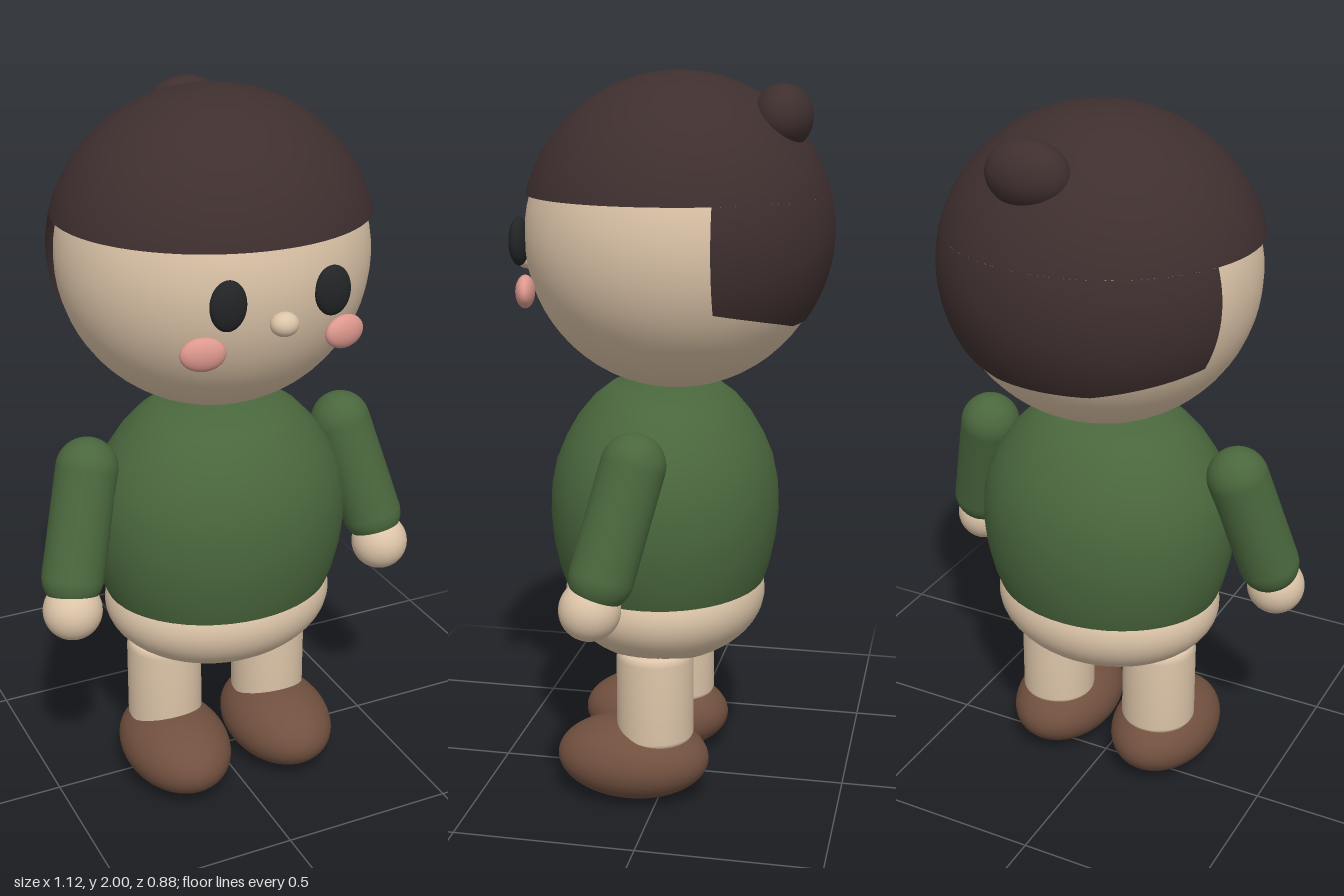
import * as THREE from 'three';

const mat = (name, color, side = THREE.FrontSide) => {
  const m = new THREE.MeshStandardMaterial({ color, side });
  m.name = name;
  return m;
};

export function createModel() {
  const group = new THREE.Group();
  const skin = mat('skin', 0xdcc4a8);
  const green = mat('shirt green', 0x4a673d, THREE.DoubleSide);
  const brown = mat('hair brown', 0x3f2f2f, THREE.DoubleSide);
  const leather = mat('shoe brown', 0x71503f);
  const pink = mat('cheek pink', 0xdd988e);
  const black = mat('eye black', 0x222426);

  const add = (name, geo, material, pos = [0, 0, 0], scale = [1, 1, 1]) => {
    const mesh = new THREE.Mesh(geo, material);
    mesh.name = name;
    mesh.position.set(...pos);
    mesh.scale.set(...scale);
    group.add(mesh);
    return mesh;
  };
  const ball = new THREE.SphereGeometry(1, 48, 32);
  const ellipsoid = (name, material, pos, radii) => add(name, ball, material, pos, radii);
  const lathe = (pts) => new THREE.LatheGeometry(pts.map(([r, y]) => new THREE.Vector2(r, y)), 48);

  // Head and nose
  ellipsoid('head', skin, [0, 1.565, -0.015], [0.421, 0.41, 0.41]);
  ellipsoid('nose', skin, [0, 1.495, 0.405], [0.037, 0.031, 0.033]);

  // Hair: a full cap down to the fringe line
  const hairPos = [0, 1.58, -0.02], hairSize = [0.44, 0.42, 0.42];
  const fringe = 1.68;
  const capAngle = Math.acos((fringe - hairPos[1]) / hairSize[1]);
  add('hairCap', new THREE.SphereGeometry(1, 64, 24, 0, Math.PI * 2, 0, capAngle), brown, hairPos, hairSize);

  // Hair: the back panel, cut upright behind the cheeks and sloping down to the nape
  const cols = 48, rows = 14, pos = [], idx = [];
  for (let i = 0; i <= rows; i++) {
    for (let j = 0; j <= cols; j++) {
      const u = (j / cols) * 2 - 1;
      const hem = 1.41 - 0.06 * Math.min(1, (1 - Math.abs(u)) * 1.5);
      const y = (THREE.MathUtils.lerp(fringe, hem, i / rows) - hairPos[1]) / hairSize[1];
      const r = Math.sqrt(1 - y * y);
      const a = u * Math.acos(0.158 / (hairSize[2] * r));
      pos.push(r * Math.sin(a), y, -r * Math.cos(a));
      if (i < rows && j < cols) {
        const k = i * (cols + 1) + j, n = k + cols + 1;
        idx.push(k, k + 1, n, k + 1, n + 1, n);
      }
    }
  }
  const back = new THREE.BufferGeometry();
  back.setAttribute('position', new THREE.Float32BufferAttribute(pos, 3));
  // On a unit sphere the normals equal the positions
  back.setAttribute('normal', new THREE.Float32BufferAttribute(pos, 3));
  back.setIndex(idx);
  add('hairBack', back, brown, hairPos, hairSize);
  ellipsoid('hairBun', brown, [0.055, 1.882, -0.305], [0.112, 0.086, 0.078]);

  // Shirt: rounded barrel, narrower front to back
  add('shirt', lathe([[0.325, 0.605], [0.342, 0.65], [0.359, 0.72], [0.368, 0.8], [0.364, 0.88], [0.347, 0.95],
    [0.318, 1.01], [0.278, 1.07], [0.23, 1.12], [0.175, 1.157], [0, 1.18]]), green, [0, 0, 0.017], [1, 1, 0.862]);
  ellipsoid('hips', skin, [0, 0.56, 0.017], [0.33, 0.182, 0.281]);

  // Paired parts
  const legGeo = lathe([[0, 0.18], [0.1, 0.18], [0.107, 0.195], [0.107, 0.42], [0.098, 0.44], [0.07, 0.452], [0, 0.454]]);
  for (const [side, s] of [['left', 1], ['right', -1]]) {
    ellipsoid(side + 'Eye', black, [s * 0.143, 1.556, 0.385], [0.049, 0.065, 0.026]);
    ellipsoid(side + 'Cheek', pink, [s * 0.197, 1.43, 0.355], [0.059, 0.044, 0.026]).rotation.y = s * 0.2;
    add(side + 'Leg', legGeo, skin, [s * 0.167, 0, 0.013]);
    ellipsoid(side + 'Shoe', leather, [s * 0.165, 0.115, 0.077], [0.152, 0.114, 0.215]);

    // Sleeve runs from shoulder to wrist, hand peeks out below
    const shoulder = new THREE.Vector3(s * 0.387, 1.02, 0.022);
    const wrist = new THREE.Vector3(s * 0.463, 0.74, 0.09);
    const dir = shoulder.clone().sub(wrist);
    const sleeve = add(side + 'Sleeve', new THREE.CapsuleGeometry(0.085, dir.length(), 12, 32), green,
      shoulder.clone().add(wrist).multiplyScalar(0.5).toArray());
    sleeve.quaternion.setFromUnitVectors(new THREE.Vector3(0, 1, 0), dir.normalize());
    ellipsoid(side + 'Hand', skin, [s * 0.477, 0.656, 0.118], [0.081, 0.081, 0.081]);
  }
  return group;
}
